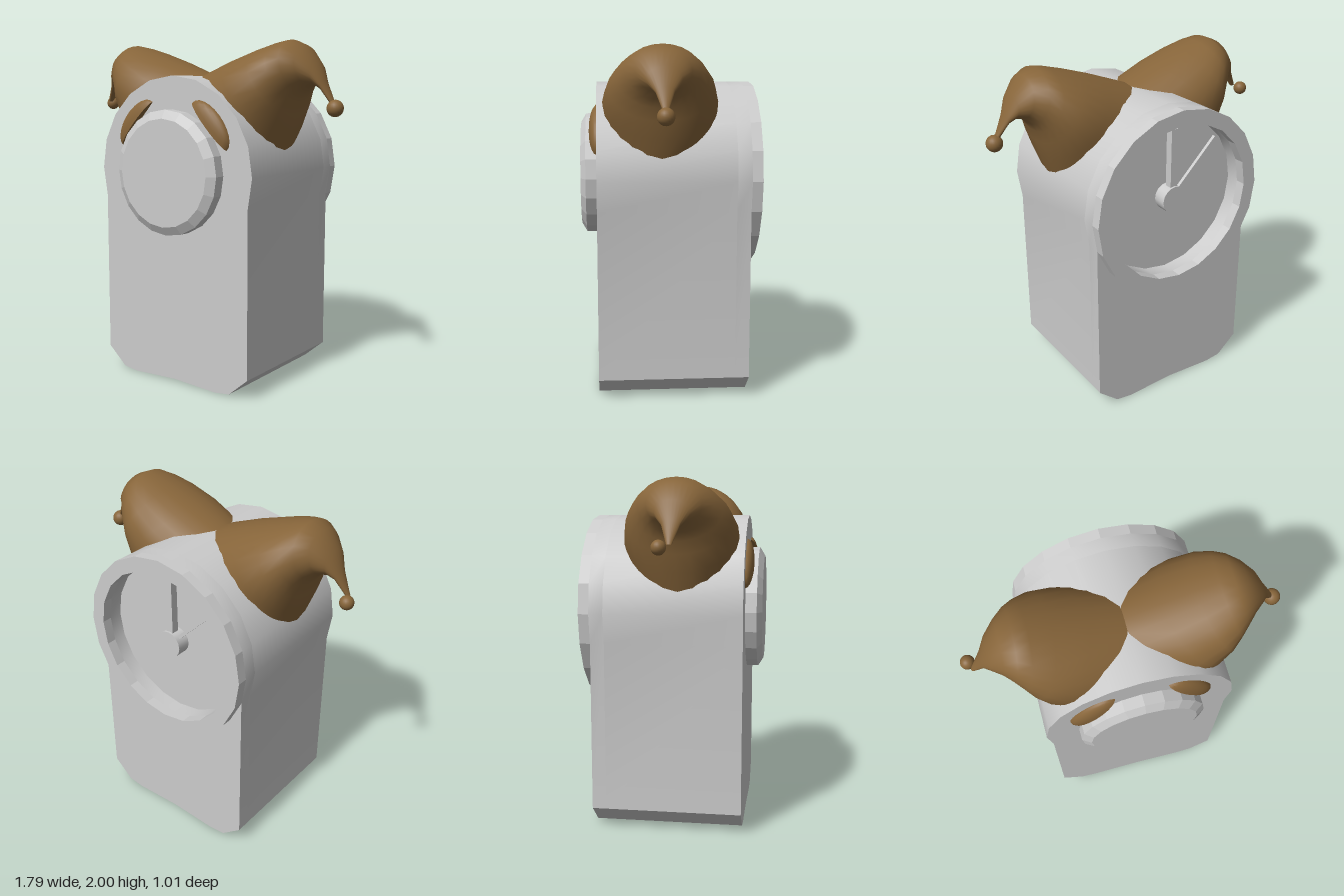
import * as THREE from 'three';
import { toCreasedNormals } from 'three/addons/utils/BufferGeometryUtils.js';

const CY = 1.255; // height of the dial axis
const grey = new THREE.MeshStandardMaterial({ color: 0xcccccc });
const greyFlat = new THREE.MeshStandardMaterial({ color: 0xcccccc, flatShading: true });
const brown = new THREE.MeshStandardMaterial({ color: 0x87653a });

// points on a 20-sided circle around the dial axis, steps of 18 degrees
function arc(r, from = 0, to = 19) {
  const pts = [];
  for (let i = from; i <= to; i++) {
    const a = (i * Math.PI) / 10;
    pts.push(new THREE.Vector2(r * Math.cos(a), CY + r * Math.sin(a)));
  }
  return pts;
}

// outline extruded between two z planes, with an optional round opening
function slab(points, z0, z1, hole) {
  const shape = new THREE.Shape(points);
  if (hole) shape.holes.push(new THREE.Path(arc(hole)));
  const g = new THREE.ExtrudeGeometry(shape, { depth: z1 - z0, bevelEnabled: false });
  return g.translate(0, 0, z0);
}

// horn of the cap: [top x, top y, bottom x, bottom y, half width] per ring
const HORN = [
  [-0.01, 1.81, 0.52, 1.36, 0.315],
  [0.2, 1.89, 0.57, 1.49, 0.325],
  [0.38, 1.95, 0.6, 1.59, 0.295],
  [0.5, 1.985, 0.62, 1.66, 0.25],
  [0.575, 2.0, 0.65, 1.705, 0.205],
  [0.65, 1.97, 0.69, 1.74, 0.15],
  [0.73, 1.88, 0.735, 1.745, 0.095],
  [0.78, 1.775, 0.765, 1.725, 0.05],
  [0.845, 1.65, 0.82, 1.645, 0.014],
];

function hornGeometry(side) {
  const n = 24, pos = [], idx = [];
  HORN.forEach(([ax, ay, bx, by, w], i) => {
    for (let j = 0; j < n; j++) {
      const a = (j / n) * Math.PI * 2, c = Math.cos(a) / 2;
      pos.push(side * ((ax + bx) / 2 + c * (ax - bx)), (ay + by) / 2 + c * (ay - by), 0.05 + w * Math.sin(a));
      if (i === HORN.length - 1) continue;
      const p = i * n + j, q = i * n + ((j + 1) % n);
      if (side > 0) idx.push(p, q, q + n, p, q + n, p + n);
      else idx.push(p, q + n, q, p, p + n, q + n);
    }
  });
  const g = new THREE.BufferGeometry();
  g.setAttribute('position', new THREE.Float32BufferAttribute(pos, 3));
  g.setIndex(idx);
  g.computeVertexNormals();
  return g;
}

// domed brow: half ellipsoid with its underside flattened along the lower edge
function browGeometry(side) {
  const g = new THREE.SphereGeometry(1, 10, 12, 0, Math.PI);
  const p = g.attributes.position;
  for (let i = 0; i < p.count; i++) p.setY(i, Math.max(p.getY(i), 0));
  g.scale(0.175, 0.092, 0.045);
  g.rotateZ(-side * 0.83);
  g.translate(side * 0.265, 1.525, 0.41);
  return toCreasedNormals(g, 0.6);
}

export function createModel() {
  const model = new THREE.Group();
  const add = (name, geometry, material, parent = model) => {
    const m = new THREE.Mesh(geometry, material);
    m.name = name;
    parent.add(m);
    return m;
  };

  // body: arched top, straight sides, chamfered and slightly hollow foot
  const outline = arc(0.55, -1, 11);
  [[-0.525, 0.12], [-0.4, 0.012], [-0.3, 0], [0, 0.015], [0.3, 0], [0.4, 0.012], [0.525, 0.12]]
    .forEach(([x, y]) => outline.push(new THREE.Vector2(x, y)));
  const body = new THREE.Group();
  body.name = 'body';
  model.add(body);
  add('bodyFront', toCreasedNormals(slab(outline, -0.37, 0.41), 0.5), grey, body);
  add('bodyBack', toCreasedNormals(slab(outline, -0.45, -0.37, 0.465), 0.5), grey, body);

  // clock on the back: rim, hub and two hands in the recess
  const clock = new THREE.Group();
  clock.name = 'clock';
  model.add(clock);
  add('clockRim', slab(arc(0.55), -0.51, -0.45, 0.465), greyFlat, clock);
  const hub = new THREE.CylinderGeometry(0.08, 0.08, 0.08, 16).rotateX(Math.PI / 2);
  add('clockHub', toCreasedNormals(hub, 0.5), grey, clock).position.set(0, CY, -0.41);
  const hand = (name, width, length, depth, angle) => {
    const g = new THREE.BoxGeometry(width, length, depth).translate(0, length / 2, 0);
    const m = add(name, g, grey, clock);
    m.position.set(0, CY, -0.415);
    m.rotation.z = angle;
  };
  hand('wideHand', 0.045, 0.42, 0.045, 0);
  hand('thinHand', 0.02, 0.43, 0.02, Math.PI / 4);

  // round front knob with a bevelled edge
  const profile = [[0, 0.505], [0.31, 0.505], [0.36, 0.475], [0.36, 0.4]]
    .map(([r, z]) => new THREE.Vector2(r, z)).reverse();
  const knob = new THREE.LatheGeometry(profile, 20).rotateX(Math.PI / 2);
  add('frontKnob', knob, greyFlat).position.y = CY;

  // brows and the two horns of the cap with their bobbles
  for (const side of [1, -1]) {
    const tag = side > 0 ? 'left' : 'right';
    add(tag + 'Brow', browGeometry(side), brown);
    add(tag + 'Horn', hornGeometry(side), brown);
  }
  add('leftBobble', new THREE.SphereGeometry(0.047, 20, 14), brown).position.set(0.845, 1.625, 0.05);
  add('rightBobble', new THREE.SphereGeometry(0.04, 20, 14), brown).position.set(-0.857, 1.635, 0);

  return model;
}
